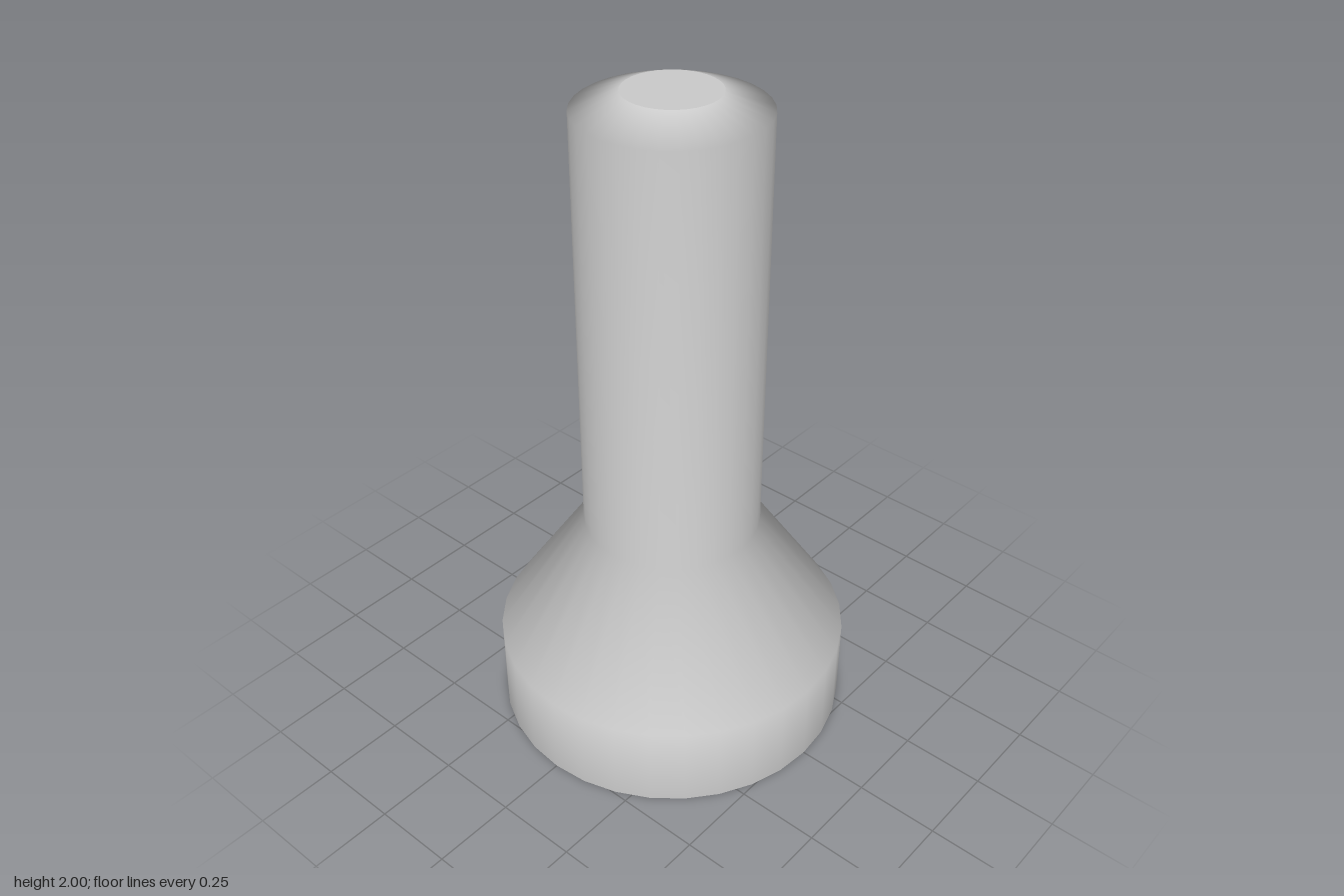
import * as THREE from 'three';

const SEGMENTS = 32;

export function createModel() {
  const group = new THREE.Group();
  const material = new THREE.MeshStandardMaterial({ color: 0xcccccc });

  // Revolve a profile of [radius, height] pairs, listed from the underside up.
  const turn = (name, profile) => {
    const points = profile.map(([r, y]) => new THREE.Vector2(r, y));
    const mesh = new THREE.Mesh(new THREE.LatheGeometry(points, SEGMENTS), material);
    mesh.name = name;
    group.add(mesh);
  };

  // Conical reflector sunk into the head, inside a narrow rim
  turn('reflector', [[0, 0.3], [0.515, 0]]);
  turn('headRim', [[0.515, 0], [0.535, 0]]);

  // Head, flared neck, handle and its bevelled end flow into one another
  turn('headAndHandle', [[0.535, 0], [0.535, 0.26], [0.266, 0.66], [0.266, 1.95], [0.135, 2]]);
  turn('endCap', [[0.135, 2], [0, 2]]);

  return group;
}
